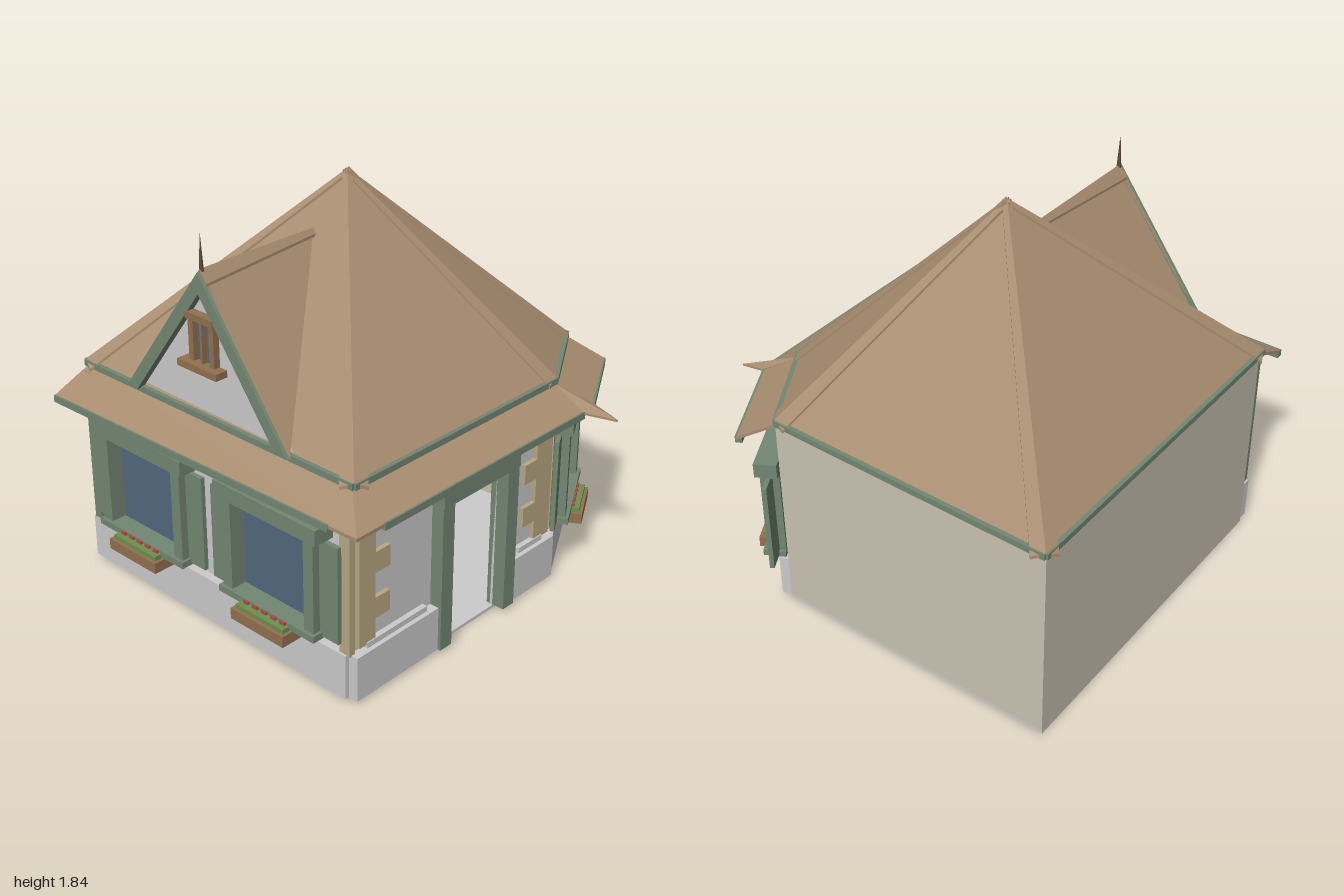
import * as THREE from 'three';

const mat = (color) => new THREE.MeshStandardMaterial({ color, flatShading: true, side: THREE.DoubleSide });
const GREY = mat(0xcccccc), WALL = mat(0xc8c2b2), ROOF = mat(0xa88d70), GREEN = mat(0x738773), GLASS = mat(0x53687f);
const TAN = mat(0xb9a884), WOOD = mat(0x92704f), DARK = mat(0x5e493a), LEAF = mat(0x6f8f4f), RED = mat(0xb04a40);

// Plan corners [x, z] in order: back left, front left, front, front right, back right
const WALLS = [[-0.81, -0.84], [-0.74, 0.73], [0.49, 0.67], [0.9, 0.41], [0.81, -0.94]];
const EAVES = [[-0.82, -0.85], [-0.74, 0.74], [0.5, 0.68], [0.9, 0.41], [0.82, -0.945]];
const V = (x, y, z) => new THREE.Vector3(x, y, z);

function add(parent, name, geometry, material) {
  const mesh = new THREE.Mesh(geometry, material);
  mesh.name = name;
  parent.add(mesh);
  return mesh;
}

// Box given by its limits on each axis
function box(parent, name, material, x0, x1, y0, y1, z0, z1) {
  const mesh = add(parent, name, new THREE.BoxGeometry(x1 - x0, y1 - y0, z1 - z0), material);
  mesh.position.set((x0 + x1) / 2, (y0 + y1) / 2, (z0 + z1) / 2);
  return mesh;
}

// Flat-faced surface from polygons of points
function faces(parent, name, material, polygons) {
  const pos = [];
  for (const p of polygons)
    for (let i = 1; i < p.length - 1; i++)
      for (const v of [p[0], p[i], p[i + 1]]) pos.push(v.x, v.y, v.z);
  const g = new THREE.BufferGeometry();
  g.setAttribute('position', new THREE.Float32BufferAttribute(pos, 3));
  g.computeVertexNormals();
  return add(parent, name, g, material);
}

// Sheet with vertical thickness
function slab(parent, name, material, top, drop) {
  const low = top.map((v) => V(v.x, v.y - drop, v.z));
  const sides = top.map((v, i) => {
    const j = (i + 1) % top.length;
    return [v, low[i], low[j], top[j]];
  });
  return faces(parent, name, material, [top, [...low].reverse(), ...sides]);
}

// Group whose x runs along p to q and whose z points outward
function side(parent, name, p, q) {
  const g = new THREE.Group();
  g.name = name;
  g.position.set(p[0], 0, p[1]);
  g.rotation.y = Math.atan2(p[1] - q[1], q[0] - p[0]);
  g.userData.length = Math.hypot(q[0] - p[0], q[1] - p[1]);
  parent.add(g);
  return g;
}

// Raised cap along a hip or ridge, with a wing on each neighbouring plane
function cap(parent, name, p, q, sides, taper = 1) {
  const dir = q.clone().sub(p).normalize();
  const up = V(0, 0.012, 0);
  for (const s of sides) {
    const w = s.clone().sub(p);
    w.addScaledVector(dir, -w.dot(dir)).setLength(0.065);
    const quad = [p.clone(), q.clone(), q.clone().addScaledVector(w, taper), p.clone().add(w)];
    slab(parent, name, ROOF, quad.map((v) => v.add(up)), 0.015);
  }
}

// Corner stones: a narrow column with wider blocks
function quoins(parent, edge, narrow, wide, z0, z1) {
  const span = (a, b) => [Math.min(a, b), Math.max(a, b)];
  box(parent, 'cornerStones', TAN, ...span(edge, narrow), 0.24, 0.86, z0, z1);
  for (const y of [0.34, 0.55, 0.76])
    box(parent, 'cornerStone', TAN, ...span(narrow, wide), y, y + 0.095, z0, z1);
}

// Window with posts, header, sill, shutters and flower box
function windowUnit(wall, u, w) {
  const g = new THREE.Group();
  g.name = 'window';
  g.position.x = u;
  wall.add(g);
  const h = w / 2;
  box(g, 'glass', GLASS, -h, h, 0.27, 0.72, 0, 0.012);
  box(g, 'header', GREEN, -h - 0.085, h + 0.085, 0.71, 0.78, 0, 0.1);
  box(g, 'sill', GREEN, -h - 0.07, h + 0.07, 0.26, 0.29, 0, 0.1);
  for (const s of [-1, 1]) {
    const post = box(g, 'post', GREEN, -0.027, 0.027, 0.28, 0.72, 0, 0.085);
    post.position.x = s * (h + 0.03);
    const shutter = box(g, 'shutter', GREEN, -0.05, 0.05, 0.27, 0.71, 0.03, 0.05);
    shutter.position.x = s * (h + 0.107);
  }
  const b = w * 0.37;
  box(g, 'flowerBox', WOOD, -b, b, 0.205, 0.255, 0.04, 0.15);
  box(g, 'plants', LEAF, -b + 0.015, b - 0.015, 0.25, 0.275, 0.055, 0.135);
  for (let i = 0; i < 5; i++) {
    const x = b * (-0.7 + 0.35 * i);
    box(g, 'flower', RED, x - 0.014, x + 0.014, 0.265, 0.288, 0.08, 0.11);
  }
}

function createDormer(wall) {
  const g = new THREE.Group();
  g.name = 'dormer';
  wall.add(g);
  const c = 0.78, top = 1.62, half = 0.48, base = 0.98;
  const peak = V(c, top, 0.02), ridgeEnd = V(c, top, -0.6);
  const feet = [-1, 1].map((s) => V(c + s * half, base, 0.02));
  faces(g, 'dormerRoof', ROOF, feet.map((f) => [f, peak, ridgeEnd]));
  faces(g, 'gableWall', GREY, [[V(c - half, base, -0.01), V(c + half, base, -0.01), V(c, top, -0.01)]]);
  cap(g, 'dormerRidge', peak, ridgeEnd, feet, 0.4);
  // Sloping boards on the gable edge
  for (const s of [-1, 1]) {
    const shape = new THREE.Shape([[0, top], [s * half, base], [s * (half - 0.065), base], [0, top - 0.09]]
      .map(([x, y]) => new THREE.Vector2(c + x, y)));
    add(g, 'bargeBoard', new THREE.ExtrudeGeometry(shape, { depth: 0.035, bevelEnabled: false }), GREEN);
  }
  // Small gable window
  box(g, 'gableGlass', GLASS, c - 0.05, c + 0.05, 1.22, 1.42, -0.01, 0.005);
  for (const s of [-1, 0, 1]) {
    const r = s ? 0.014 : 0.006;
    box(g, 'gableWindowBar', WOOD, c + s * 0.06 - r, c + s * 0.06 + r, 1.22, 1.42, 0, 0.03);
  }
  box(g, 'gableWindowHead', WOOD, c - 0.08, c + 0.08, 1.41, 1.44, 0, 0.04);
  box(g, 'gableWindowSill', WOOD, c - 0.115, c + 0.115, 1.2, 1.23, 0, 0.06);
  // Finial
  add(g, 'finial', new THREE.ConeGeometry(0.012, 0.18, 6), DARK).position.set(c, 1.69, 0.01);
}

function createFront(wall) {
  const L = wall.userData.length, d0 = 0.535, d1 = 0.88;
  const shape = new THREE.Shape([[0, 0], [d0, 0], [d0, 0.7], [d1, 0.7], [d1, 0], [L, 0], [L, 0.97], [0, 0.97]]
    .map(([x, y]) => new THREE.Vector2(x, y)));
  add(wall, 'frontWall', new THREE.ExtrudeGeometry(shape, { depth: 0.02, bevelEnabled: false }), GREY).position.z = -0.02;
  for (const [a, b] of [[-0.02, d0 - 0.06], [d1 + 0.06, L + 0.01]]) {
    box(wall, 'plinth', GREY, a, b, 0.02, 0.225, 0, 0.045);
    box(wall, 'plinthCap', GREY, a + 0.08, b - 0.06, 0.225, 0.25, 0, 0.025);
  }
  quoins(wall, 0.02, 0.11, 0.195, 0, 0.02);
  quoins(wall, L, 1.125, 1.045, 0, 0.02);
  // Doorway
  box(wall, 'doorPost', GREEN, d0 - 0.07, d0, 0.02, 0.71, -0.03, 0.06);
  box(wall, 'doorPost', GREEN, d1, d1 + 0.07, 0.02, 0.71, -0.03, 0.06);
  box(wall, 'doorHeader', GREEN, d0 - 0.07, d1 + 0.07, 0.7, 0.77, -0.03, 0.065);
  box(wall, 'openDoor', DARK, d0, d0 + 0.02, 0.025, 0.68, -0.35, -0.02);
  add(wall, 'doorKnob', new THREE.SphereGeometry(0.012, 8, 6), TAN).position.set(d0 + 0.027, 0.35, -0.31);
  box(wall, 'lamp', DARK, 0.605, 0.635, 0.79, 0.84, 0, 0.04);
}

export function createModel() {
  const house = new THREE.Group();
  house.name = 'cottage';

  // Floor
  const plan = new THREE.Shape(WALLS.map(([x, z]) => new THREE.Vector2(x, -z)));
  add(house, 'floor', new THREE.ExtrudeGeometry(plan, { depth: 0.015, bevelEnabled: false }), GREY).rotation.x = -Math.PI / 2;

  // Walls
  const names = ['leftSide', 'frontSide', 'cornerSide', 'rightSide', 'backSide'];
  const sides = names.map((n, i) => side(house, n, WALLS[i], WALLS[(i + 1) % 5]));
  sides.forEach((s, i) => {
    const L = s.userData.length;
    if (i !== 1) box(s, 'wall', i > 2 ? WALL : GREY, 0, L, 0, 0.97, -0.02, 0);
    if (i === 0 || i === 2) box(s, 'plinth', GREY, 0, L, 0.02, 0.225, 0, 0.04);
  });
  const [left, front, corner] = sides;
  createFront(front);
  for (const u of [0.4, 1.18]) windowUnit(left, u, 0.41);
  box(left, 'cornerPost', GREEN, 0.01, 0.05, 0.22, 0.95, 0, 0.04);
  box(left, 'cornerPost', TAN, 1.53, 1.585, 0.22, 0.95, 0, 0.03);
  windowUnit(corner, corner.userData.length / 2 + 0.03, 0.34);
  quoins(corner, 0.01, 0.13, 0.21, 0.005, 0.02);
  createDormer(left);

  // Main roof with hip caps and eave boards
  const apex = V(0.03, 1.825, -0.1);
  const rim = EAVES.map(([x, z]) => V(x, 0.98, z));
  faces(house, 'mainRoof', ROOF, rim.map((p, i) => [p, rim[(i + 1) % 5], apex]));
  rim.forEach((p, i) => {
    cap(house, 'hipCap', p, apex, [rim[(i + 4) % 5], rim[(i + 1) % 5]], 0.35);
    const s = side(house, 'eave', EAVES[i], EAVES[(i + 1) % 5]);
    box(s, 'eaveBoard', GREEN, 0, s.userData.length, 0.962, 0.99, -0.03, 0.01);
  });

  // Lower skirt roof: inner edge, outer edge, span of the edge board
  const skirts = [
    [WALLS[0], WALLS[1], [-1, -0.84], [-0.88, 0.9], 0, 1.6],
    [WALLS[1], WALLS[2], [-0.88, 0.9], [0.59, 0.83], 0.15, 1.39],
    [WALLS[2], WALLS[3], [0.585, 0.82], [0.99, 0.56], 0, 0.48],
  ];
  for (const [a, b, c, d, u0, u1] of skirts) {
    slab(house, 'skirtRoof', ROOF,
      [V(a[0], 0.968, a[1]), V(c[0], 0.88, c[1]), V(d[0], 0.88, d[1]), V(b[0], 0.968, b[1])], 0.015);
    box(side(house, 'skirtEdge', c, d), 'edgeBoard', GREEN, u0, u1, 0.85, 0.882, -0.025, 0.005);
  }
  // Pointed flap where the front skirt meets the corner skirt
  slab(house, 'skirtFlap', ROOF, [V(0.49, 0.968, 0.67), V(0.5, 0.88, 0.835), V(0.59, 0.855, 0.95), V(0.59, 0.885, 0.82)], 0.01);
  return house;
}
